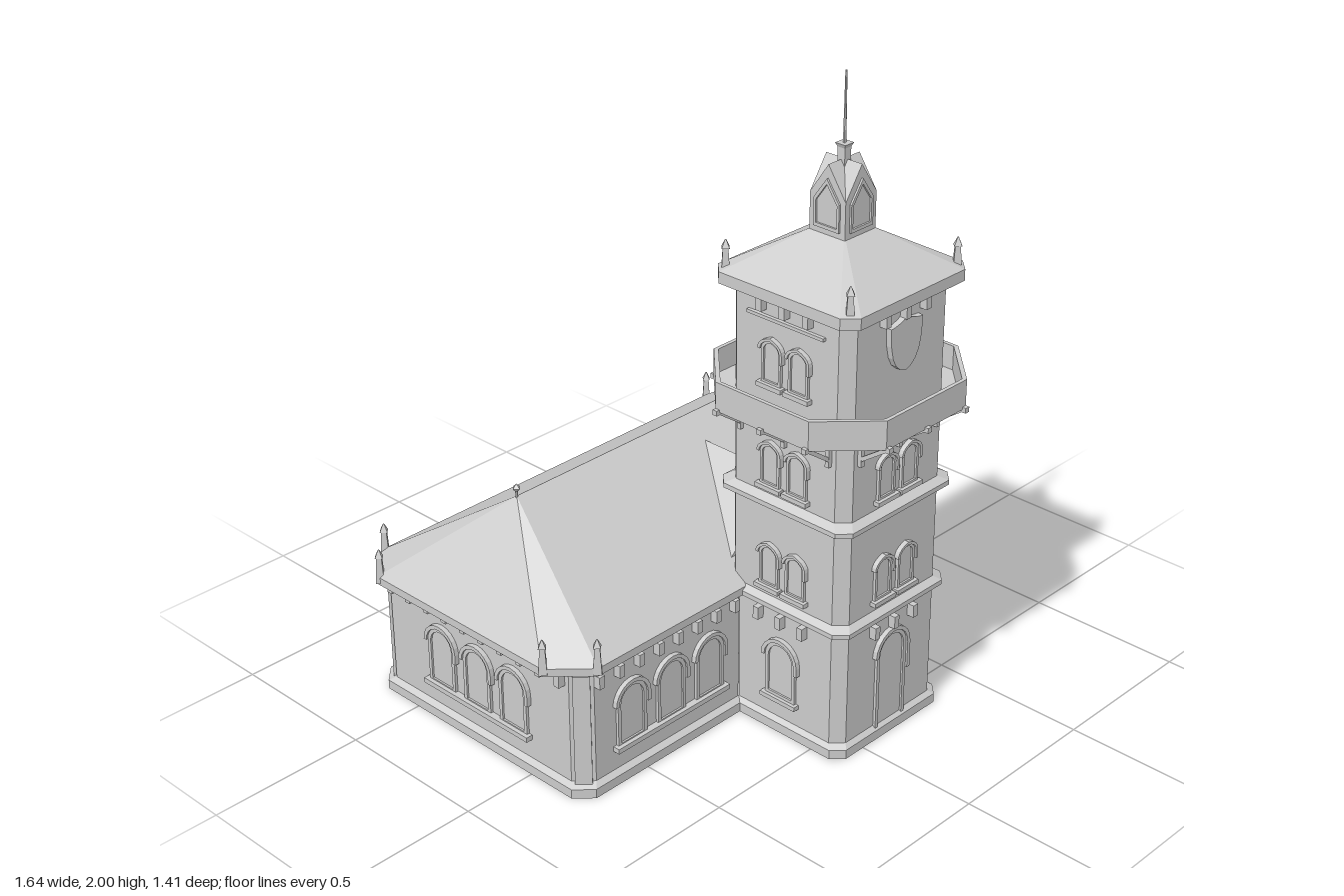
import * as THREE from 'three';

const mat = new THREE.MeshStandardMaterial({ color: 0xcccccc, flatShading: true, side: THREE.DoubleSide });

function add(parent, name, geo, x = 0, y = 0, z = 0) {
  const m = new THREE.Mesh(geo, mat);
  m.name = name;
  m.position.set(x, y, z);
  parent.add(m);
  return m;
}
function group(parent, name, x = 0, y = 0, z = 0, ry = 0) {
  const g = new THREE.Group();
  g.name = name;
  g.position.set(x, y, z);
  g.rotation.y = ry;
  if (parent) parent.add(g);
  return g;
}
const box = (w, h, d) => new THREE.BoxGeometry(w, h, d);

// Rectangle with chamfered corners, as [x, z] points
const oct = (hx, hz, c) => [[-hx + c, hz], [hx - c, hz], [hx, hz - c], [hx, -hz + c],
  [hx - c, -hz], [-hx + c, -hz], [-hx, -hz + c], [-hx, hz - c]];

// Skin between stacked outlines: sections are { y, pts }
function loft(sections, closed = true) {
  const pos = [];
  for (let s = 0; s < sections.length - 1; s++) {
    const A = sections[s], B = sections[s + 1], n = A.pts.length;
    for (let i = 0; i < (closed ? n : n - 1); i++) {
      const j = (i + 1) % n;
      const v = (S, k) => [S.pts[k][0], S.y, S.pts[k][1]];
      pos.push(...v(A, i), ...v(A, j), ...v(B, j), ...v(A, i), ...v(B, j), ...v(B, i));
    }
  }
  const g = new THREE.BufferGeometry();
  g.setAttribute('position', new THREE.Float32BufferAttribute(pos, 3));
  g.computeVertexNormals();
  return g;
}

// Arch outline standing on y = 0, round or pointed
function arch(Type, w, h, pointed, y0 = 0) {
  const r = w / 2, p = new Type();
  p.moveTo(-r, y0);
  p.lineTo(r, y0);
  if (pointed) {
    p.lineTo(r, h - r * 0.9);
    p.quadraticCurveTo(r, h - r * 0.25, 0, h);
    p.quadraticCurveTo(-r, h - r * 0.25, -r, h - r * 0.9);
  } else {
    p.lineTo(r, h - r);
    p.absarc(0, h - r, r, 0, Math.PI, false);
  }
  p.closePath();
  return p;
}
const extrude = (s, depth) => new THREE.ExtrudeGeometry(s, { depth, bevelEnabled: false, curveSegments: 5 });

// Arched opening: pane, moulded frame and a hood over the head
function opening(parent, name, u, y, d, w, h, pointed, sill = true) {
  const g = group(parent, name, u, y, d), t = Math.min(0.012, w * 0.12);
  add(g, 'pane', new THREE.ShapeGeometry(arch(THREE.Shape, w, h, pointed), 5), 0, 0, 0.003);
  const frame = arch(THREE.Shape, w, h, pointed);
  frame.holes.push(arch(THREE.Path, w - 2 * t, h - t, pointed, t));
  add(g, 'frame', extrude(frame, 0.009));
  const hood = new THREE.Shape(), R = w / 2 + t, yS = h * 0.55;
  const outer = arch(THREE.Shape, 2 * R, h + t, pointed, yS).getPoints(5);
  const inner = arch(THREE.Shape, w, h, pointed, yS).getPoints(5);
  hood.setFromPoints([...outer.slice(1, -1), ...inner.slice(1, -1).reverse()]);
  add(g, 'hood', extrude(hood, 0.015));
  if (sill) add(g, 'sill', box(w + 0.02, 0.014, 0.024), 0, -0.005, 0.008);
}

function dentils(parent, from, to, step, y, d) {
  const n = Math.round((to - from) / step);
  for (let i = 0; i <= n; i++) add(parent, 'corbel', box(0.02, 0.04, 0.025), from + i * (to - from) / n, y, d + 0.011);
}

function pinnacle(parent, x, y, z) {
  const g = group(parent, 'pinnacle', x, y, z);
  add(g, 'shaft', new THREE.CylinderGeometry(0.011, 0.018, 0.085, 4), 0, 0.0425, 0);
  add(g, 'cap', new THREE.CylinderGeometry(0.002, 0.016, 0.025, 4), 0, 0.0975, 0);
}

function shield(parent, u, y, d, w, h) {
  const s = new THREE.Shape();
  s.moveTo(0, -h / 2);
  s.bezierCurveTo(w * 0.3, -h * 0.45, w * 0.5, -h * 0.25, w / 2, h * 0.38);
  s.quadraticCurveTo(w * 0.25, h * 0.38, 0, h / 2);
  s.quadraticCurveTo(-w * 0.25, h * 0.38, -w / 2, h * 0.38);
  s.bezierCurveTo(-w * 0.5, -h * 0.25, -w * 0.3, -h * 0.45, 0, -h / 2);
  add(parent, 'shield', extrude(s, 0.018), u, y, d);
}

// Four wall-aligned groups: local +z points outward
const walls = (parent) => ['front', 'left', 'back', 'right'].map((n, i) =>
  group(parent, n + 'WallDetails', 0, 0, 0, i * Math.PI / 2));

function buildHall(root) {
  const hall = group(root, 'hall', 0, 0, -0.235), hx = 0.74, hz = 0.435;

  // Walls with plinth, open where the tower joins
  const ring = (o) => {
    const p = oct(hx + o, hz + o, 0.05);
    return [[0.35, hz + o], ...p.slice(1), p[0], [-0.1, hz + o]];
  };
  add(hall, 'walls', loft([[0, 0.018], [0.03, 0.018], [0.042, 0], [0.4, 0]].map(([y, o]) => ({ y, pts: ring(o) })), false));

  // Eaves and hipped roof
  const eave = oct(0.81, 0.465, 0.11);
  const ridge = eave.map(([x]) => [Math.sign(x) * 0.565, 0]);
  add(hall, 'roof', loft([{ y: 0.4, pts: oct(hx, hz, 0.05) }, { y: 0.415, pts: eave },
    { y: 0.44, pts: eave }, { y: 0.75, pts: ridge }]));
  oct(0.802, 0.457, 0.107).forEach(([x, z]) => pinnacle(hall, x, 0.42, z));
  for (const s of [-1, 1]) {
    add(hall, 'ridgeStem', new THREE.CylinderGeometry(0.004, 0.004, 0.03, 5), s * 0.565, 0.755, 0);
    add(hall, 'ridgeFinial', new THREE.OctahedronGeometry(0.014), s * 0.565, 0.776, 0);
  }

  // Corner piers
  for (const sx of [-1, 1]) for (const sz of [-1, 1]) {
    const p = add(hall, 'cornerPier', box(0.05, 0.4, 0.02), sx * (hx - 0.025), 0.2, sz * (hz - 0.025));
    p.rotation.y = sx * sz * Math.PI / 4;
  }

  const [front, left, back, right] = walls(hall);
  const row = (wall, d, us) => {
    us.forEach((u) => opening(wall, 'archedWindow', u, 0.115, d, 0.115, 0.2, false, false));
    const a = Math.min(...us), b = Math.max(...us);
    add(wall, 'longSill', box(b - a + 0.14, 0.016, 0.025), (a + b) / 2, 0.115, d + 0.01);
  };
  row(front, hz, [-0.55, -0.39, -0.23]);
  row(front, hz, [0.435, 0.595]);
  row(back, hz, [-0.6, -0.465, -0.33, -0.195, -0.06]);
  row(back, hz, [0.32, 0.48]);
  opening(back, 'backDoor', 0.12, 0, hz, 0.11, 0.27, false, false);
  shield(back, 0.12, 0.345, hz, 0.075, 0.09);
  for (const w of [left, right]) {
    row(w, hx, [-0.155, 0, 0.155]);
    dentils(w, -0.36, 0.36, 0.08, 0.38, hx);
  }
  dentils(front, -0.68, -0.13, 0.08, 0.38, hz);
  dentils(front, 0.4, 0.68, 0.08, 0.38, hz);
  dentils(back, -0.68, 0.68, 0.08, 0.38, hz);
}

function buildTower(root) {
  const tower = group(root, 'tower', 0.125, 0, 0.37), h = 0.222;
  const sec = (list, c = 0.035) => list.map(([y, o]) => ({ y, pts: oct(h + o, h + o, c) }));

  // Ground storey, open to the hall behind
  const open = (o) => {
    const p = oct(h + o, h + o, 0.035);
    return [[-h - o, -0.17], p[7], p[0], p[1], p[2], [h + o, -0.17]];
  };
  add(tower, 'groundStorey', loft([[0, 0.015], [0.03, 0.015], [0.042, 0], [0.42, 0]].map(([y, o]) => ({ y, pts: open(o) })), false));

  // Upper storeys with string courses
  add(tower, 'upperStoreys', loft(sec([[0.4, 0], [0.415, 0.02], [0.43, 0.02], [0.445, 0], [0.735, 0],
    [0.75, 0.025], [0.765, 0.025], [0.78, 0], [1.39, 0]])));

  // Balcony slab and parapet
  const bal = (y, r, c) => ({ y, pts: oct(r, r, c) });
  add(tower, 'balcony', loft([bal(1.04, h, 0.035), bal(1.04, 0.322, 0.15), bal(1.13, 0.322, 0.15),
    bal(1.13, 0.31, 0.145), bal(1.055, 0.31, 0.145), bal(1.055, h, 0.035)]));

  // Eaves and roof
  add(tower, 'roof', loft([...sec([[1.385, 0], [1.395, 0.038], [1.43, 0.038]], 0.04),
    { y: 1.545, pts: oct(0.065, 0.065, 0.004) }]));
  for (const sx of [-1, 1]) for (const sz of [-1, 1]) pinnacle(tower, sx * 0.226, 1.405, sz * 0.226);

  const sides = walls(tower);
  sides.forEach((w, i) => {
    // Balcony struts and their wall posts
    for (const u of [-0.165, 0, 0.165]) {
      const s = add(w, 'strut', box(0.012, 0.012, 0.125), u, 1.005, h + 0.05);
      s.rotation.x = -Math.atan2(0.07, 0.1);
      add(w, 'strutPost', box(0.014, 0.085, 0.014), u, 0.995, h + 0.006);
      add(w, 'strutEnd', box(0.016, 0.016, 0.016), u, 1.04, 0.326);
    }
    dentils(w, -0.085, 0.085, 0.085, 1.37, h);
    if (i !== 2) dentils(w, -0.085, 0.085, 0.085, 0.38, h);

    // Paired windows
    const floors = [0.81];
    if (i !== 2) floors.push(0.48);
    if (i % 2) floors.push(1.13);
    for (const y of floors) for (const u of [-0.05, 0.05]) opening(w, 'pairedWindow', u, y, h, 0.072, 0.135, true);
    if (i % 2) {
      opening(w, 'archedWindow', 0, 0.115, h, 0.115, 0.19, false);
      add(w, 'topMoulding', box(0.28, 0.01, 0.012), 0, 1.33, h + 0.005);
    }
  });
  opening(sides[0], 'frontDoor', 0, 0, h, 0.13, 0.345, false, false);
  shield(sides[0], 0, 1.275, h, 0.135, 0.165);
  opening(sides[2], 'balconyDoor', 0, 1.055, h, 0.1, 0.28, false, false);

  // Lantern of two crossing gables
  const lantern = group(tower, 'lantern', 0, 1.54, 0);
  const gable = new THREE.Shape([[-0.064, 0], [0.064, 0], [0.064, 0.115], [0, 0.21], [-0.064, 0.115]]
    .map(([x, y]) => new THREE.Vector2(x, y)));
  const win = (T, k) => new T([[-0.046, 0.022], [0.046, 0.022], [0.046, 0.105], [0, 0.17], [-0.046, 0.105]]
    .map(([x, y]) => new THREE.Vector2(x * k, 0.08 + (y - 0.08) * k)));
  const trim = win(THREE.Shape, 1);
  trim.holes.push(win(THREE.Path, 0.82));
  for (let i = 0; i < 4; i++) {
    const f = group(lantern, 'lanternFace', 0, 0, 0, i * Math.PI / 2);
    if (i < 2) add(f, 'gable', extrude(gable, 0.128), 0, 0, -0.064);
    add(f, 'lanternWindow', extrude(trim, 0.006), 0, 0, 0.064);
  }

  // Spire
  add(tower, 'spireBase', box(0.026, 0.06, 0.026), 0, 1.755, 0);
  add(tower, 'spireCollar', new THREE.CylinderGeometry(0.026, 0.014, 0.018, 4), 0, 1.786, 0).rotation.y = Math.PI / 4;
  add(tower, 'spire', new THREE.CylinderGeometry(0.003, 0.005, 0.21, 6), 0, 1.895, 0);
}

export function createModel() {
  const root = group(null, 'townHall');
  buildHall(root);
  buildTower(root);

  // Gabled link roof between the hall and the tower
  const link = new THREE.Shape([[-0.205, 0.492], [0.205, 0.492], [0, 0.694]].map(([x, y]) => new THREE.Vector2(x, y)));
  add(root, 'linkRoof', extrude(link, 0.302), 0.125, 0, -0.152);
  return root;
}
